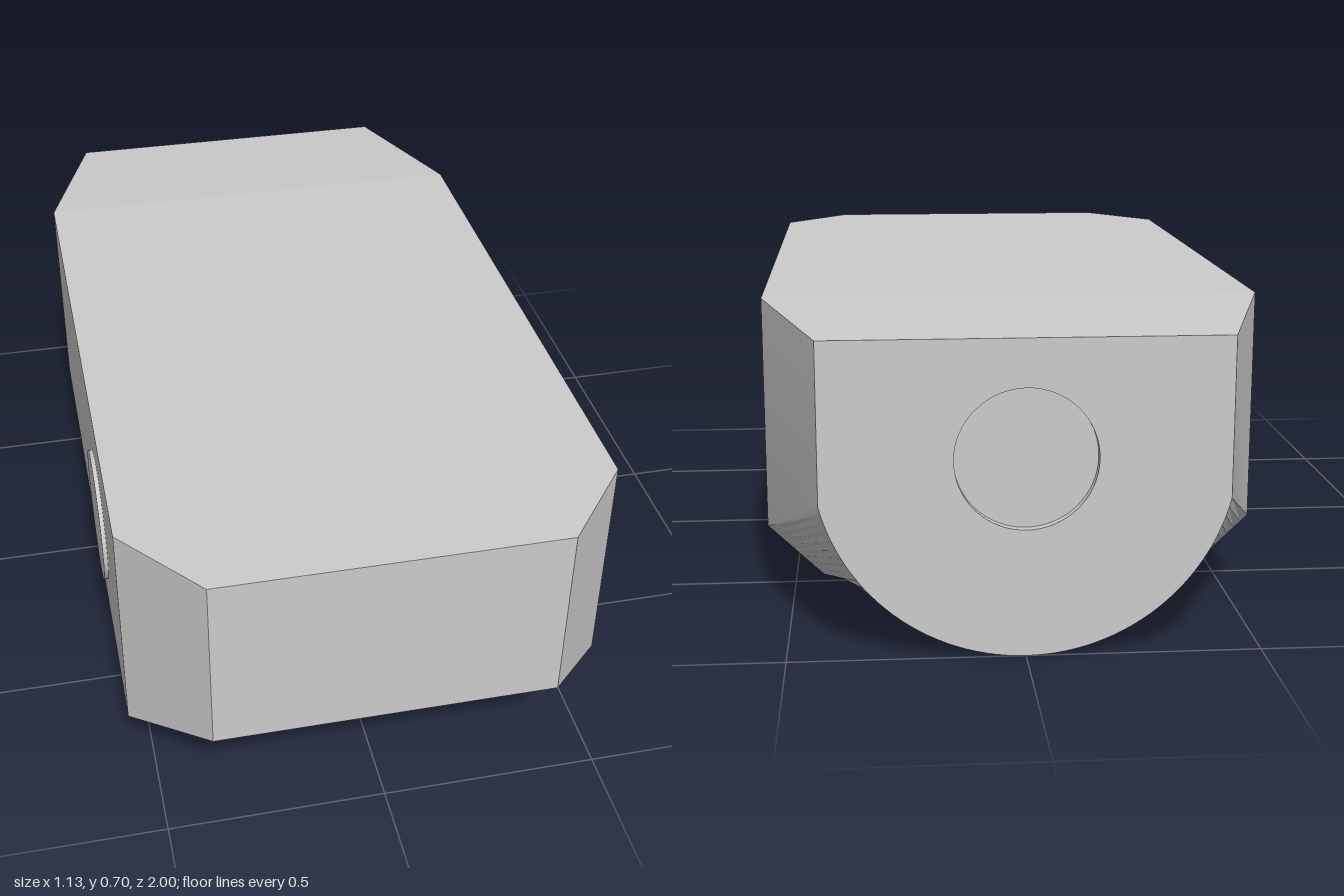
import * as THREE from 'three';
import { toCreasedNormals } from 'three/addons/utils/BufferGeometryUtils.js';

const material = new THREE.MeshStandardMaterial({ color: 0xcccccc, side: THREE.DoubleSide });

// Half outline (left side, top to bottom) mirrored into a full closed ring
const mirrorRing = (half) => [...half, ...half.slice().reverse().map(([x, y]) => [-x, y])];

// Skin between rings of equal point count, listed from front to back
function loft(sections) {
  const pos = [];
  for (let i = 0; i < sections.length - 1; i++) {
    const A = sections[i], B = sections[i + 1], n = A.ring.length;
    for (let j = 0; j < n; j++) {
      const k = (j + 1) % n;
      const a = [...A.ring[j], A.z], b = [...A.ring[k], A.z];
      const c = [...B.ring[k], B.z], d = [...B.ring[j], B.z];
      pos.push(...a, ...b, ...c, ...a, ...c, ...d);
    }
  }
  const g = new THREE.BufferGeometry();
  g.setAttribute('position', new THREE.Float32BufferAttribute(pos, 3));
  return toCreasedNormals(g, 0.3);
}

export function createModel() {
  const model = new THREE.Group();
  const add = (name, geometry) => {
    const mesh = new THREE.Mesh(geometry, material);
    mesh.name = name;
    model.add(mesh);
    return mesh;
  };

  // Main hull: chamfered box with tapered nose
  const hull = [[0.555, 0.7], [0.555, 0.175], [0.43, 0.055]];
  const section = (z, half) => ({ z, ring: mirrorRing(half) });
  add('hull', loft([
    section(1, [[0.39, 0.7], [0.39, 0.26], [0.39, 0.26]]),
    section(0.8, [[0.555, 0.7], [0.555, 0.167], [0.555, 0.167]]),
    section(0.56, hull),
    section(-0.61, hull),
  ]));
  add('nosePanel', new THREE.PlaneGeometry(0.78, 0.44)).position.set(0, 0.48, 1);

  // Tail: hull section blends into a flat top with a round underside
  const R = 0.44, sideAngle = 1.327, cornerAngle = 0.966, chamferSteps = 8, bellySteps = 20;
  const arc = (t) => [R * Math.sin(t), R - R * Math.cos(t)];
  const start = [hull[0]], end = [[0.427, 0.678]];
  for (let i = 0; i <= chamferSteps; i++) {
    const t = i / chamferSteps;
    start.push([0.555 - 0.125 * t, 0.175 - 0.12 * t]);
    end.push(arc(sideAngle + (cornerAngle - sideAngle) * t));
  }
  for (let i = 1; i <= bellySteps; i++) {
    const t = 1 - i / bellySteps;
    start.push([0.43 * t, 0.055]);
    end.push(arc(cornerAngle * t));
  }
  add('tail', loft([section(-0.61, start), section(-1, end)]));

  // Rear face with a shallow round recess
  const portR = 0.15, portY = 0.425, depth = 0.02;
  const face = new THREE.Shape(mirrorRing(end).map(([x, y]) => new THREE.Vector2(x, y)));
  face.holes.push(new THREE.Path().absarc(0, portY, portR, 0, Math.PI * 2, true));
  const rear = add('rearFace', new THREE.ShapeGeometry(face, 32));
  rear.rotation.y = Math.PI;
  rear.position.z = -1;

  const wall = add('recessWall', new THREE.CylinderGeometry(portR, portR, depth, 64, 1, true));
  wall.rotation.x = Math.PI / 2;
  wall.position.set(0, portY, -1 + depth / 2);

  const floor = add('recessFloor', new THREE.CircleGeometry(portR, 64));
  floor.rotation.y = Math.PI;
  floor.position.set(0, portY, -1 + depth);

  // Raised round caps on both sides
  for (const [name, s] of [['leftCap', 1], ['rightCap', -1]]) {
    const cap = add(name, new THREE.CylinderGeometry(0.155, 0.155, 0.02, 64));
    cap.rotation.z = Math.PI / 2;
    cap.position.set(s * 0.555, portY, 0.385);
  }
  return model;
}
